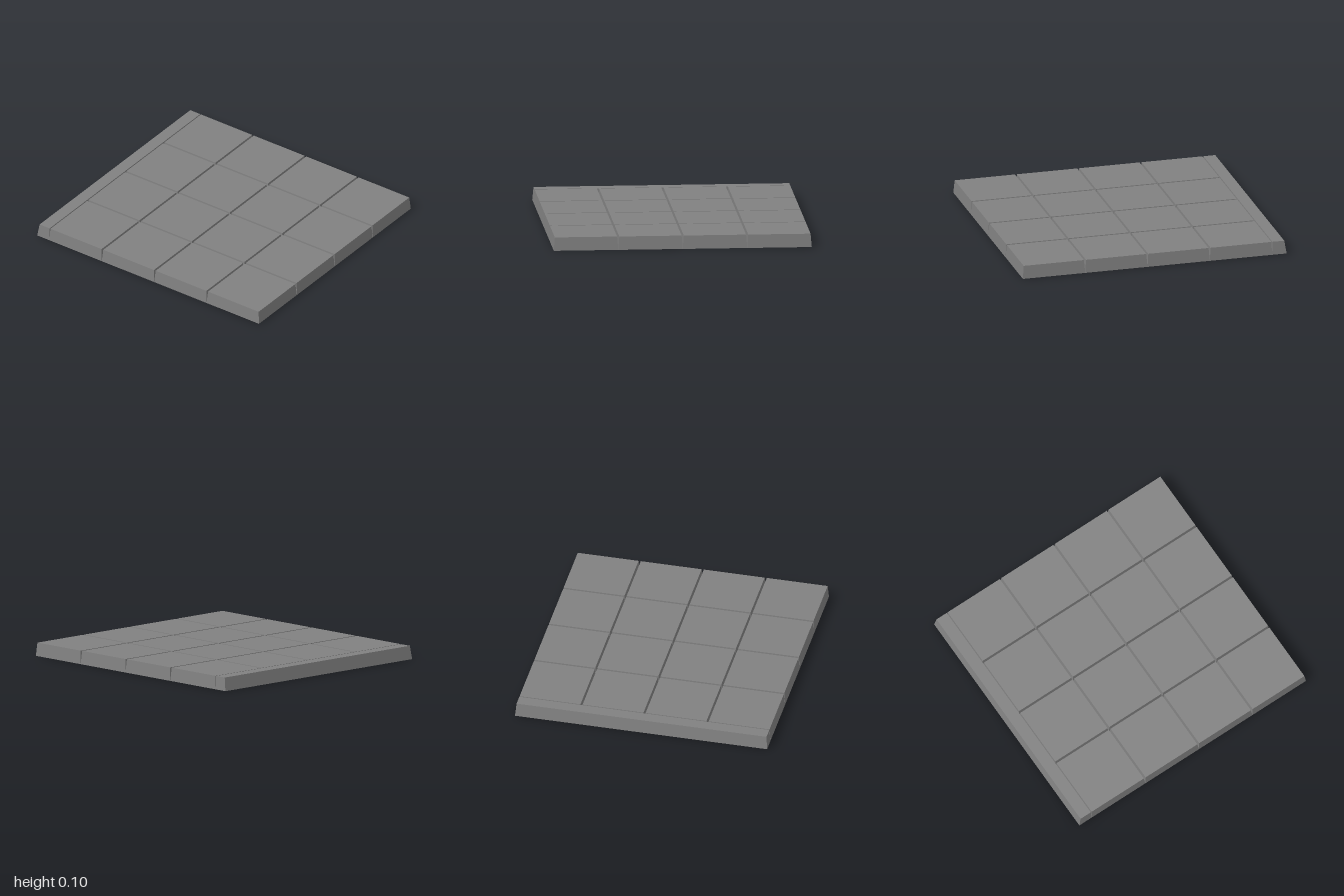
import * as THREE from 'three';

const HEIGHT = 0.098;
const CELL = 0.4725;
const INSET = 0.008;

// Open-bottomed shell: a box without its underside whose top edges are drawn inwards
function shell(x0, x1, z0, z1, insetLeft, insetRight, insetZ) {
  const geo = new THREE.BoxGeometry(1, 1, 1);
  const index = Array.from(geo.index.array);
  index.splice(18, 6); // underside
  geo.setIndex(index);
  geo.clearGroups();
  const p = geo.attributes.position;
  for (let i = 0; i < p.count; i++) {
    const top = p.getY(i) > 0 ? 1 : 0;
    const x = p.getX(i) < 0 ? x0 + insetLeft * top : x1 - insetRight * top;
    const z = p.getZ(i) < 0 ? z0 + insetZ * top : z1 - insetZ * top;
    p.setXYZ(i, x, HEIGHT * top, z);
  }
  geo.computeVertexNormals();
  return geo;
}

export function createModel() {
  const group = new THREE.Group();
  group.name = 'tiledSlab';
  const grey = new THREE.MeshStandardMaterial({ color: 0x808080, side: THREE.DoubleSide });
  grey.name = 'stoneGrey';

  const add = (name, geo) => {
    const mesh = new THREE.Mesh(geo, grey);
    mesh.name = name;
    group.add(mesh);
  };

  // Four by four square tiles with tapered sides that form the grooves
  const startX = 1 - 4 * CELL;
  const startZ = -2 * CELL;
  for (let i = 0; i < 4; i++) {
    for (let j = 0; j < 4; j++) {
      const x = startX + i * CELL;
      const z = startZ + j * CELL;
      add(`tile${i + 1}${j + 1}`, shell(x, x + CELL, z, z + CELL, i ? INSET : 0.004, INSET, INSET));
    }
  }

  // Long edging strip with a sloped outer face
  add('edgeStrip', shell(-1, startX, startZ, -startZ, 0.016, 0.004, INSET));

  return group;
}
